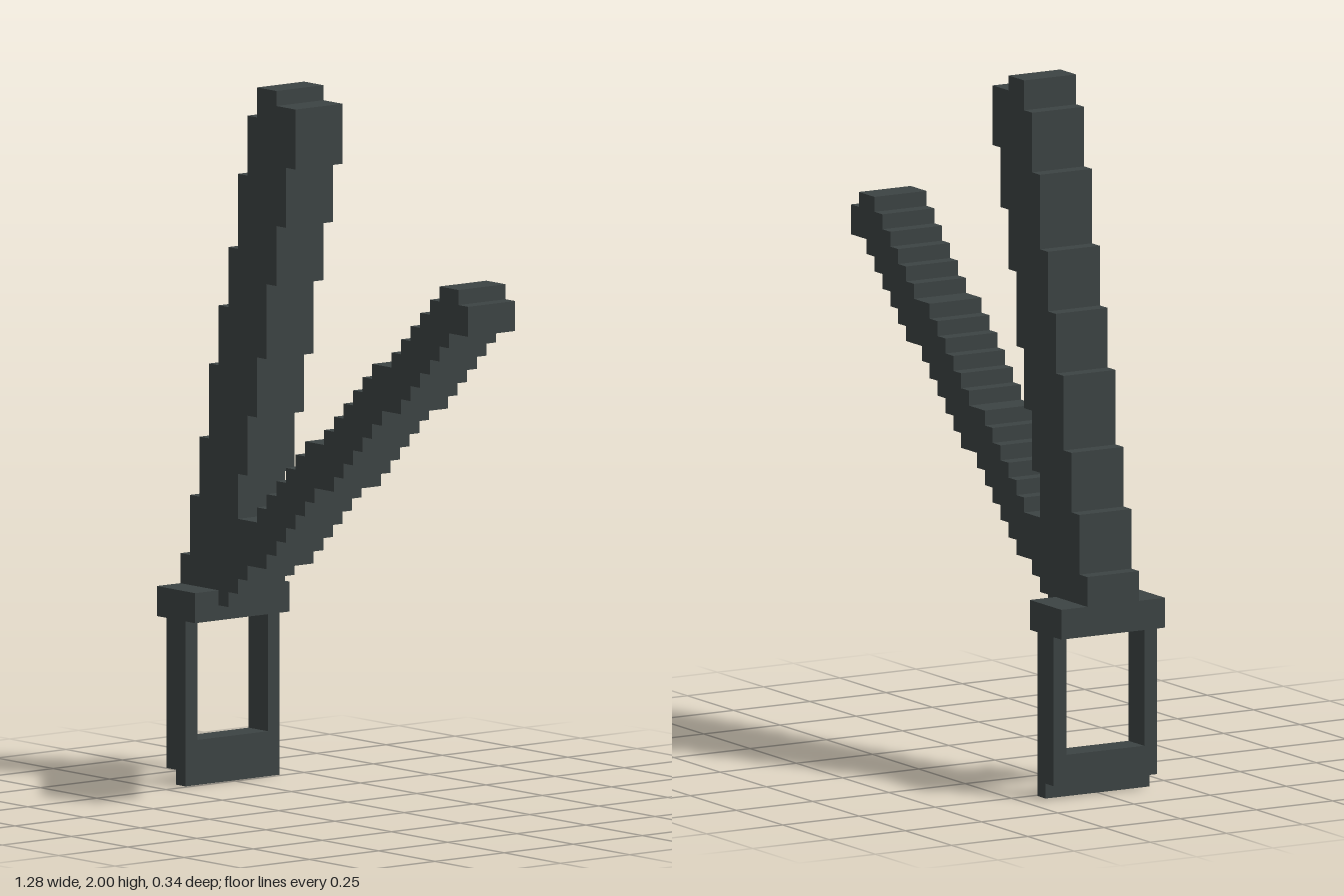
import * as THREE from 'three';

const U = 2 / 47; // one block of the stepped grid
const COLUMNS = 30;

export function createModel() {
  const model = new THREE.Group();
  model.name = 'steppedFork';
  const darkSlate = new THREE.MeshStandardMaterial({ color: 0x3c4343, flatShading: true });
  darkSlate.name = 'darkSlate';

  // Places a geometry given in grid units
  function add(name, geometry) {
    geometry.translate(-COLUMNS / 2, 0, 0);
    geometry.scale(U, U, U);
    const mesh = new THREE.Mesh(geometry, darkSlate);
    mesh.name = name;
    model.add(mesh);
  }

  function block(name, x0, x1, y0, y1, z0, z1) {
    const g = new THREE.BoxGeometry(x1 - x0, y1 - y0, z1 - z0);
    g.translate((x0 + x1) / 2, (y0 + y1) / 2, (z0 + z1) / 2);
    add(name, g);
  }

  // Two-pronged blade: one stepped outline walked clockwise
  let x = 0, y = 13;
  const points = [new THREE.Vector2(x, y)];
  const go = (dx, dy) => {
    x += dx;
    y += dy;
    points.push(new THREE.Vector2(x, y));
  };
  const run = (k) => (k % 6 === 0 ? 2 : 1); // every sixth tread is double

  // Thick prong: outer edge, tip, inner edge
  for (const rise of [2, 4, 4, 5, 4, 4, 5, 4]) { go(0, rise); go(1, 0); }
  go(0, 2); go(2, 0); go(0, -1); go(2, 0);
  for (const drop of [4, 4, 4, 5, 4, 4]) { go(0, -drop); go(-1, 0); }
  go(0, -3);

  // Thin prong: upper stair, tip, lower stair
  for (let k = 0; k < 19; k++) { go(run(k), 0); go(0, k < 18 ? 1 : -1); }
  go(1, 0); go(0, -2);
  for (let k = 0; k < 22; k++) { go(-run(k), 0); go(0, k < 21 ? -1 : 1); }

  const blade = new THREE.ExtrudeGeometry(new THREE.Shape(points), { depth: 4, bevelEnabled: false });
  blade.translate(0, 0, -2);
  add('forkedBlade', blade);

  // Crossguard and open handle frame
  block('crossguard', 0, 4, 11, 13, -4, 4);
  block('leftHandleBar', 1, 3, 3, 11, 3, 4);
  block('rightHandleBar', 1, 3, 3, 11, -4, -3);
  block('handleBase', 1, 3, 1, 3, -4, 4);
  block('handleLip', 2, 3, 0, 1, -4, 4);

  return model;
}
